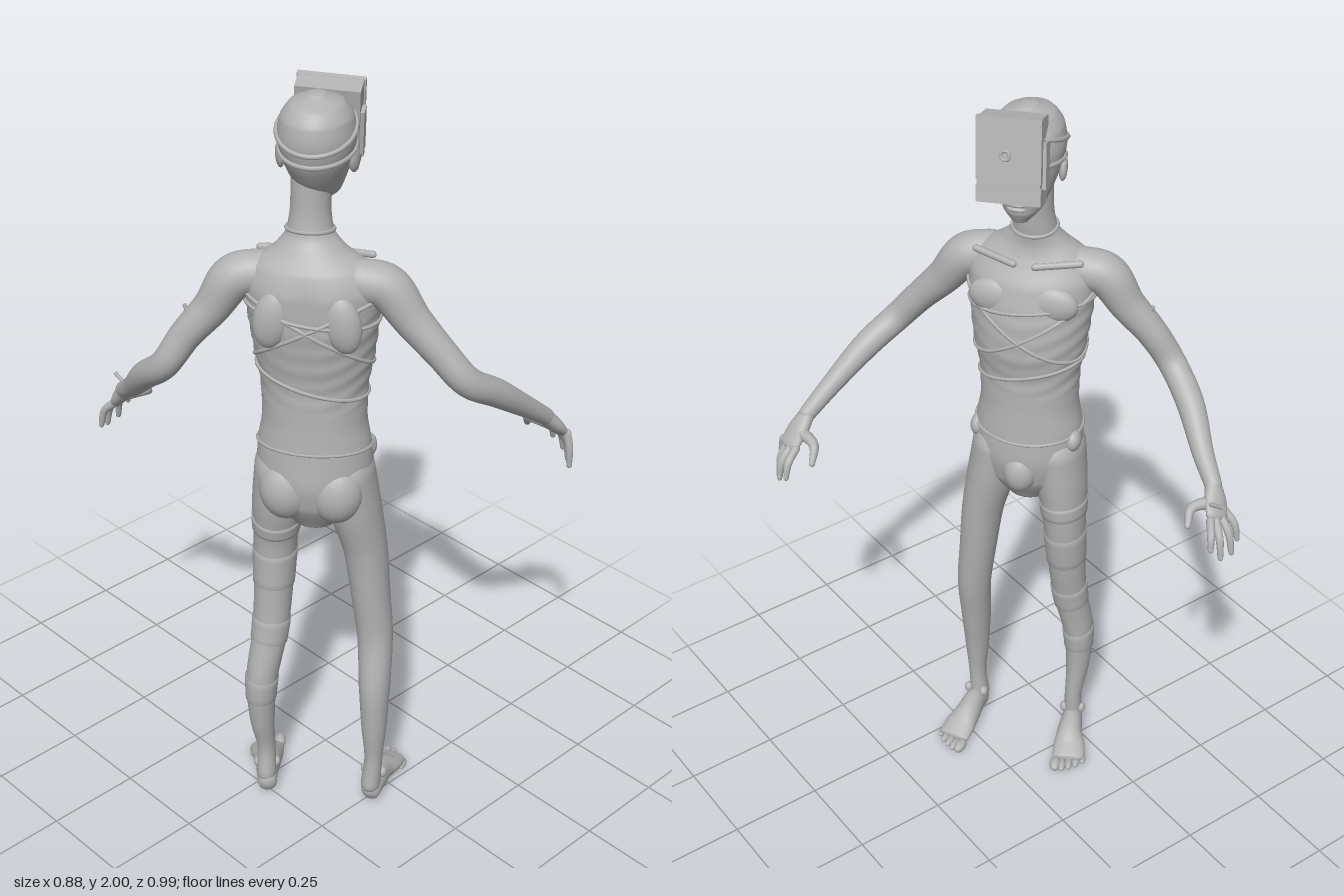
import * as THREE from 'three';

const V = (x, y, z) => new THREE.Vector3(x, y, z);
const skinMat = new THREE.MeshStandardMaterial({ color: 0xb3b3b3 });
skinMat.name = 'plain grey';
const FACING = Math.atan2(0.8, -0.6); // turns local +z to the way the body faces
const SIDE = V(-0.6, 0, -0.8); // the figure's left

function add(parent, name, geo, pos = [0, 0, 0], scale = [1, 1, 1], rot = [0, 0, 0]) {
  const m = new THREE.Mesh(geo, skinMat);
  m.name = name;
  m.position.set(...pos);
  m.scale.set(...scale);
  m.rotation.set(...rot);
  parent.add(m);
  return m;
}
const ball = new THREE.SphereGeometry(1, 24, 16);
const blob = (parent, name, pos, scale, rot) => add(parent, name, ball, pos, scale, rot);

// Smooth interpolation through sections [x, y, z, a, b]
function spline(sections) {
  const path = new THREE.CatmullRomCurve3(sections.map(s => V(s[0], s[1], s[2])));
  const size = new THREE.CatmullRomCurve3(sections.map(s => V(s[3], s[4] ?? s[3], 0)));
  const n = sections.length - 1;
  const at = t => ({ c: path.getPoint(t), r: size.getPoint(t), d: path.getTangent(t) });
  const atY = y => {
    let i = 0;
    while (i < n - 1 && sections[i + 1][1] < y) i++;
    return at((i + (y - sections[i][1]) / (sections[i + 1][1] - sections[i][1])) / n);
  };
  return { at, atY, n };
}

// Elliptical skin along a spline, with rounded ends
function skin(sections, { side = SIDE, level = false, t0 = 0, t1 = 1, grow = 0, seg = 28, mod = () => 1, round = 1 } = {}) {
  const sp = spline(sections), steps = Math.max(4, Math.ceil(sp.n * 8 * (t1 - t0))), pos = [], idx = [];
  let rings = 0;
  const ring = (t, k, push) => {
    const { c, r, d } = sp.at(t);
    if (level) d.set(0, 1, 0);
    const u = side.clone().addScaledVector(d, -side.dot(d)).normalize();
    const v = d.clone().cross(u);
    c.addScaledVector(d, push * Math.min(r.x, r.y) * round);
    for (let j = 0; j < seg; j++) {
      const q = j / seg * Math.PI * 2, m = k * mod(c.y, q);
      const p = c.clone().addScaledVector(u, (r.x + grow) * m * Math.cos(q)).addScaledVector(v, (r.y + grow) * m * Math.sin(q));
      pos.push(p.x, p.y, p.z);
    }
    rings++;
  };
  const caps = [0.001, 0.4, 0.75, 0.93];
  caps.forEach(k => ring(t0, k, -Math.sqrt(1 - k * k)));
  for (let i = 0; i <= steps; i++) ring(t0 + (t1 - t0) * i / steps, 1, 0);
  caps.slice().reverse().forEach(k => ring(t1, k, Math.sqrt(1 - k * k)));
  for (let i = 0; i < rings - 1; i++) for (let j = 0; j < seg; j++) {
    const a = i * seg + j, b = i * seg + (j + 1) % seg;
    idx.push(a, b, b + seg, a, b + seg, a + seg);
  }
  const g = new THREE.BufferGeometry();
  g.setAttribute('position', new THREE.Float32BufferAttribute(pos, 3));
  g.setIndex(idx);
  g.computeVertexNormals();
  return g;
}

// Closed strap lying on a level skin: height is a function of the angle
function strap(sections, height, r = 0.005, grow = 0.001) {
  const sp = spline(sections), pts = [];
  for (let j = 0; j < 32; j++) {
    const q = j / 32 * Math.PI * 2, y = height(q), { c, r: s } = sp.atY(y);
    pts.push(V(c.x + (s.x + grow) * Math.cos(q), y, c.z - (s.y + grow) * Math.sin(q)));
  }
  return new THREE.TubeGeometry(new THREE.CatmullRomCurve3(pts, true), 96, r, 6, true);
}

const X = V(1, 0, 0);
const TORSO = [
  [0, 0.88, 0, 0.06, 0.055], [0, 0.95, 0, 0.125, 0.098], [0, 1.03, 0, 0.143, 0.112], [0, 1.1, 0, 0.14, 0.108],
  [0, 1.18, 0, 0.128, 0.102], [0, 1.26, 0, 0.13, 0.1], [0, 1.35, 0, 0.145, 0.112], [0, 1.45, -0.01, 0.157, 0.116],
  [0, 1.53, -0.02, 0.163, 0.106], [0.002, 1.585, -0.026, 0.14, 0.082], [0.005, 1.625, -0.02, 0.085, 0.062],
  [0.008, 1.66, -0.008, 0.055, 0.052], [0.008, 1.72, 0, 0.047, 0.05], [0.006, 1.79, 0.004, 0.048, 0.052]];
const HEAD = [
  [0, 1.718, 0.058, 0.022, 0.024], [0, 1.745, 0.036, 0.048, 0.06], [0, 1.79, 0.018, 0.066, 0.084], [0, 1.84, 0.003, 0.082, 0.1],
  [0, 1.89, -0.002, 0.09, 0.107], [0, 1.935, -0.004, 0.083, 0.1], [0, 1.965, -0.005, 0.062, 0.076], [0, 1.982, -0.005, 0.025, 0.03]];

function makeTorso() {
  const g = new THREE.Group();
  g.name = 'torso';
  g.position.set(-0.15, 0, 0.12);
  g.rotation.y = FACING;
  // spine furrow and faint ribs
  const mod = (y, q) => {
    const trunk = THREE.MathUtils.smoothstep(y, 0.95, 1.1) * (1 - THREE.MathUtils.smoothstep(y, 1.5, 1.6));
    const spine = Math.sin(q) > 0 ? 0.07 * Math.exp(-((Math.cos(q) / 0.16) ** 2)) : 0;
    const ribs = y > 1.22 && y < 1.48 ? 0.01 * Math.sin((y - 0.03 * Math.cos(2 * q)) * 130) : 0;
    return 1 - trunk * spine + ribs;
  };
  add(g, 'trunk and neck', skin(TORSO, { side: X, level: true, mod, seg: 48, round: 0.3 }));
  for (const s of [-1, 1]) {
    blob(g, 'buttock', [s * 0.062, 0.99, -0.052], [0.068, 0.085, 0.066]);
    blob(g, 'shoulder blade', [s * 0.082, 1.47, -0.1], [0.045, 0.075, 0.03], [0, 0, s * 0.2]);
    blob(g, 'chest muscle', [s * 0.07, 1.49, 0.062], [0.07, 0.05, 0.03]);
    blob(g, 'hip bone', [s * 0.128, 1.075, 0.035], [0.02, 0.03, 0.03]);
    add(g, 'collar bone', new THREE.CapsuleGeometry(0.009, 0.11, 4, 8), [s * 0.08, 1.588, 0.042], [1, 1, 1], [0, s * 0.3, s * 1.65]);
    add(g, 'back strap', strap(TORSO, q => 1.42 + s * 0.09 * Math.cos(q) + 0.03 * Math.sin(q)));
  }
  blob(g, 'groin', [0, 0.985, 0.085], [0.045, 0.06, 0.042]);
  add(g, 'chest strap', strap(TORSO, q => 1.47 + 0.02 * Math.cos(q)));
  add(g, 'rib strap', strap(TORSO, q => 1.28 + 0.035 * Math.cos(q)));
  add(g, 'waistband', strap(TORSO, q => 1.1 + 0.015 * Math.sin(q), 0.004));
  add(g, 'neck band', strap(TORSO, q => 1.665 + 0.008 * Math.sin(q)));
  return g;
}

function makeHead() {
  const g = new THREE.Group();
  g.name = 'head';
  g.position.set(-0.14, 0, 0.12);
  g.rotation.y = FACING;
  add(g, 'skull and jaw', skin(HEAD, { side: X, level: true, seg: 40, round: 0.25 }));
  for (const s of [-1, 1]) blob(g, 'ear', [s * 0.085, 1.835, -0.004], [0.011, 0.034, 0.02], [-0.2, s * 0.3, 0]);
  blob(g, 'nose', [-0.005, 1.8, 0.102], [0.015, 0.02, 0.018]);
  for (const y of [1.76, 1.772]) blob(g, 'lip', [0, y, 0.092], [0.024, 0.007, 0.012]);
  add(g, 'lower head strap', strap(HEAD, q => 1.86 - 0.015 * Math.sin(q), 0.006));
  add(g, 'upper head strap', strap(HEAD, q => 1.91 - 0.035 * Math.sin(q), 0.006));
  // headset: tilted box with lid, ridge, knob and straps
  const h = new THREE.Group();
  h.name = 'headset';
  h.position.set(-0.012, 1.886, 0.083);
  h.rotation.set(-0.2, 0, 0.05);
  g.add(h);
  const box = (name, w, hh, d, p, r) => add(h, name, new THREE.BoxGeometry(w, hh, d), p, [1, 1, 1], r);
  box('headset body', 0.15, 0.205, 0.06, [0, 0, 0]);
  box('headset front plate', 0.158, 0.15, 0.014, [0, 0.028, 0.03]);
  box('headset lower ridge', 0.158, 0.04, 0.018, [0, -0.08, 0.028]);
  for (const s of [-1, 1]) box('headset side block', 0.012, 0.11, 0.035, [s * 0.078, -0.01, -0.005]);
  box('headset diagonal strap', 0.16, 0.007, 0.005, [0, 0.062, 0.038], [0, 0, 0.35]);
  add(h, 'headset knob', new THREE.TorusGeometry(0.011, 0.004, 8, 20), [-0.008, 0.015, 0.038]);
  return g;
}

// Arm, palm and five fingers; the last arm section is the wrist
function makeArm(name, arm, palmEnd, across, tips, thumb) {
  const g = new THREE.Group();
  g.name = name;
  add(g, 'arm', skin(arm));
  const w = arm[arm.length - 1], e = V(...palmEnd), wr = V(w[0], w[1], w[2]);
  const m = wr.clone().lerp(e, 0.55);
  add(g, 'palm', skin([[...wr.toArray(), 0.022, 0.019], [...m.toArray(), 0.034, 0.019], [...e.toArray(), 0.036, 0.014]], { side: across, seg: 20 }));
  tips.forEach((tip, i) => {
    const root = e.clone().addScaledVector(across, (i - 1.5) * 0.02);
    const mid = root.clone().lerp(V(...tip), 0.5).add(V(tip[0] - root.x, 0.03, tip[2] - root.z).multiplyScalar(0.22));
    add(g, 'finger', skin([[...root.toArray(), 0.011], [...mid.toArray(), 0.01], [...tip, 0.007]], { side: across, seg: 12 }));
  });
  add(g, 'thumb', skin([[...m.toArray(), 0.018], [...thumb[0], 0.013], [...thumb[1], 0.008]], { side: V(0, 1, 0), seg: 12 }));
  return g;
}

const LEG_SIZE = [[0.066, 0.092], [0.065, 0.084], [0.056, 0.068], [0.05, 0.058], [0.046, 0.05], [0.041, 0.05], [0.033, 0.038], [0.024, 0.028], [0.026, 0.032]];
const LEG_Y = [1.03, 0.92, 0.8, 0.65, 0.52, 0.38, 0.25, 0.14, 0.06];

function makeLeg(name, xz, heel, dir, inner, wraps) {
  const g = new THREE.Group();
  g.name = name;
  const sec = xz.map(([x, z], i) => [x, LEG_Y[i], z, ...LEG_SIZE[i]]);
  add(g, 'leg', skin(sec));
  wraps.forEach(([a, b]) => add(g, 'bandage', skin(sec, { t0: a, t1: b, grow: 0.003, round: 0.05 })));
  const f = new THREE.Group();
  f.name = 'foot';
  f.position.set(heel[0], 0, heel[1]);
  f.rotation.y = Math.atan2(dir[0], dir[1]);
  g.add(f);
  add(f, 'sole and instep', skin([[0, 0.034, 0, 0.025, 0.03], [0, 0.045, 0.04, 0.03, 0.043], [inner * 0.003, 0.04, 0.09, 0.036, 0.038],
    [0, 0.028, 0.135, 0.045, 0.025], [0, 0.02, 0.17, 0.045, 0.016]], { side: X, round: 0.6 }));
  for (let i = 0; i < 5; i++) {
    const r = i === 0 ? 0.015 : 0.0115 - i * 0.0006;
    blob(f, 'toe', [inner * (0.035 - i * 0.019), r + 0.001, 0.196 - i * i * 0.0022], [r, r, 0.026 - i * 0.001]);
  }
  for (const s of [-1, 1]) blob(f, 'ankle bone', [s * 0.024, 0.085, 0.028], [0.012, 0.015, 0.014]);
  return g;
}

export function createModel() {
  const model = new THREE.Group();
  model.name = 'figure';
  model.add(makeTorso(), makeHead());
  model.add(makeArm('left arm',
    [[-0.24, 1.555, 0.04, 0.052], [-0.285, 1.54, -0.005, 0.054], [-0.325, 1.46, -0.045, 0.045], [-0.37, 1.385, -0.09, 0.039],
      [-0.405, 1.305, -0.13, 0.036], [-0.395, 1.235, -0.22, 0.035], [-0.36, 1.15, -0.32, 0.027], [-0.34, 1.105, -0.385, 0.022]],
    [-0.315, 1.05, -0.435], V(-0.96, 0, 0.28),
    [[-0.255, 1.0, -0.485], [-0.285, 0.965, -0.49], [-0.325, 0.96, -0.485], [-0.36, 0.975, -0.465]],
    [[-0.265, 1.07, -0.395], [-0.233, 1.045, -0.42]]));
  model.add(makeArm('right arm',
    [[-0.11, 1.555, 0.235, 0.052], [-0.07, 1.54, 0.275, 0.054], [-0.035, 1.46, 0.33, 0.045], [0, 1.385, 0.39, 0.039],
      [0.04, 1.315, 0.437, 0.037], [0.13, 1.255, 0.45, 0.035], [0.24, 1.175, 0.452, 0.027], [0.32, 1.115, 0.45, 0.022]],
    [0.383, 1.05, 0.442], V(0, 0, 1),
    [[0.43, 0.99, 0.39], [0.43, 0.97, 0.425], [0.415, 0.955, 0.455], [0.385, 0.96, 0.485]],
    [[0.35, 1.07, 0.375], [0.373, 1.035, 0.35]]));
  model.add(makeLeg('left leg',
    [[-0.198, 0.052], [-0.2, 0.04], [-0.2, 0.028], [-0.212, 0.03], [-0.23, 0.034], [-0.26, 0.032], [-0.26, 0.03], [-0.247, 0.03], [-0.252, 0.035]],
    [-0.262, 0.048], [0.67, -0.74], -1, [[0.18, 0.22], [0.28, 0.36], [0.46, 0.52], [0.62, 0.68]]));
  model.add(makeLeg('right leg',
    [[-0.1, 0.184], [-0.085, 0.195], [-0.064, 0.21], [-0.054, 0.224], [-0.05, 0.238], [-0.068, 0.257], [-0.075, 0.264], [-0.075, 0.264], [-0.08, 0.26]],
    [-0.085, 0.265], [0.89, -0.46], 1, []));
  // small pegs on the left arm and hand
  const peg = new THREE.CylinderGeometry(0.005, 0.006, 0.07, 8);
  add(model, 'arm peg', peg, [-0.36, 1.43, -0.085], [1, 1, 1], [-0.3, 0, 0.2]);
  add(model, 'hand peg', peg, [-0.3, 1.09, -0.44], [1, 1, 1], [-1.2, 0, 0]);
  return model;
}
